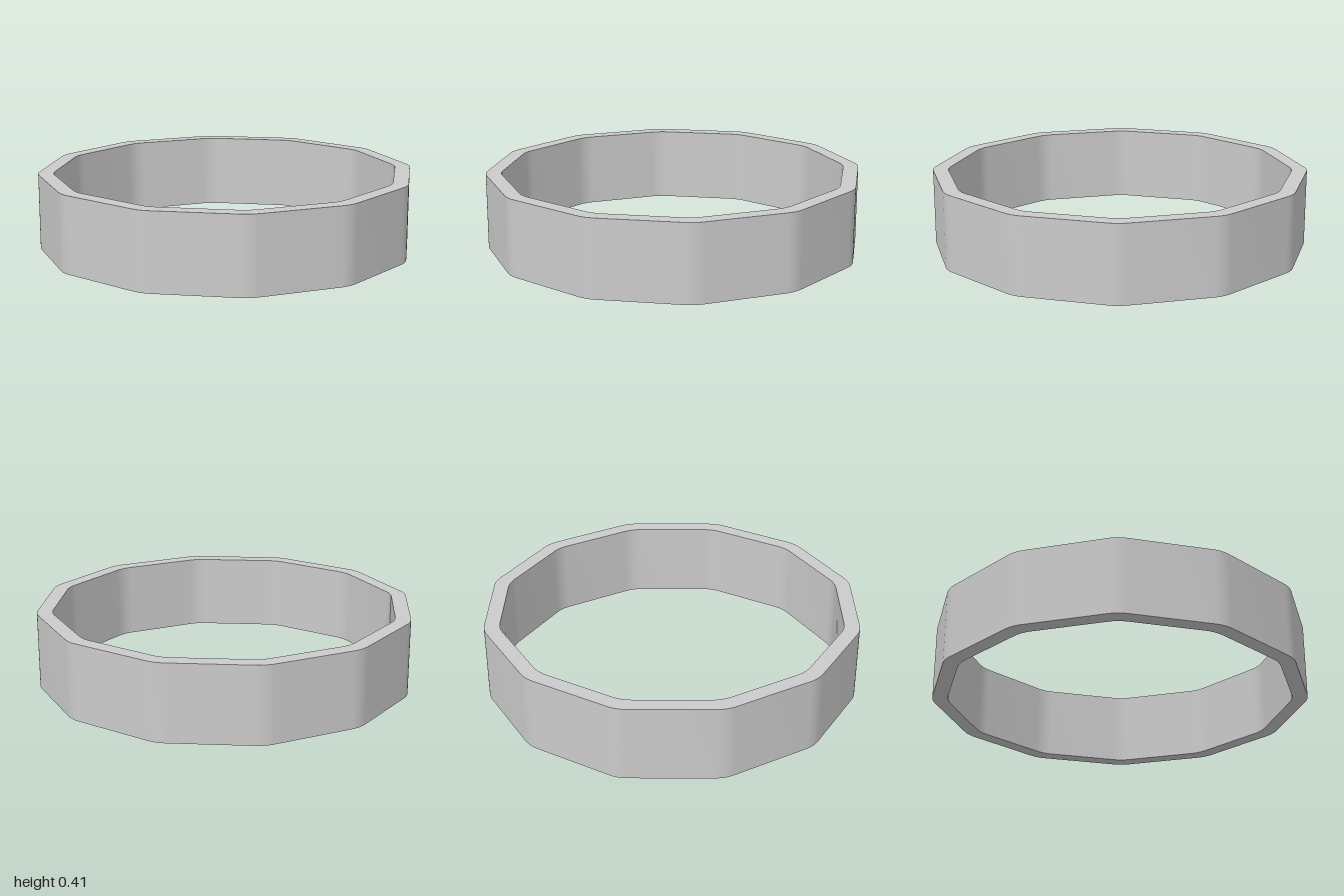
import * as THREE from 'three';
import { toCreasedNormals } from 'three/addons/utils/BufferGeometryUtils.js';

const SIDES = 12;
const HEIGHT = 0.415;
const OUTER = 1; // centre to outer flat
const INNER = 0.918; // centre to inner flat
const CORNER = 0.19; // corner rounding radius

// Adds a regular polygon with rounded corners to a path.
function roundedPolygon(path, apothem, radius) {
  const step = (Math.PI * 2) / SIDES;
  const reach = (apothem - radius) / Math.cos(step / 2);
  for (let i = 0; i < SIDES; i++) {
    const a = i * step;
    const mid = a + step / 2;
    path.absarc(Math.cos(mid) * reach, Math.sin(mid) * reach, radius, a, a + step, false);
  }
  return path;
}

export function createModel() {
  const group = new THREE.Group();
  group.name = 'ring';

  // Twelve-sided band, open through the middle
  const outline = roundedPolygon(new THREE.Shape(), OUTER, CORNER);
  outline.holes.push(roundedPolygon(new THREE.Path(), INNER, CORNER));
  const extruded = new THREE.ExtrudeGeometry(outline, {
    depth: HEIGHT,
    bevelEnabled: false,
    curveSegments: 4,
  });
  extruded.rotateX(-Math.PI / 2);

  const band = new THREE.Mesh(
    toCreasedNormals(extruded, Math.PI / 6),
    new THREE.MeshStandardMaterial({ color: 0xcccccc })
  );
  band.name = 'band';
  group.add(band);
  return group;
}
